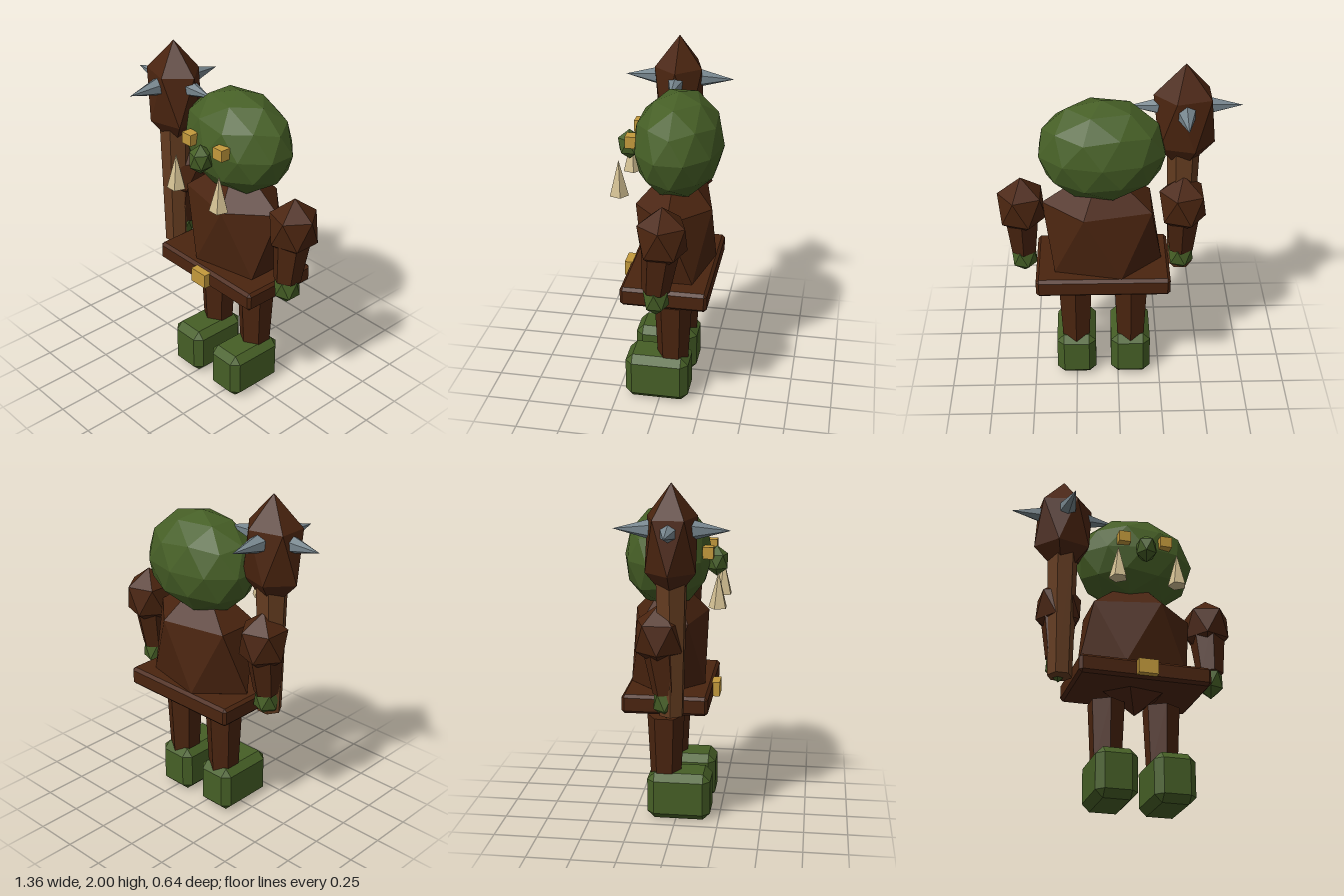
import * as THREE from 'three';
import { ConvexGeometry } from 'three/addons/geometries/ConvexGeometry.js';

const mat = (name, color) => {
  const m = new THREE.MeshStandardMaterial({ color });
  m.name = name;
  return m;
};

// Flat facets: unshared vertices with face normals
const facet = (geo) => {
  const g = geo.index ? geo.toNonIndexed() : geo;
  g.computeVertexNormals();
  return g;
};

// Icosphere with its poles on y and an upper-ring vertex on +x
function ico(rx, ry, rz, detail = 0) {
  const g = new THREE.IcosahedronGeometry(1, detail);
  g.rotateX(-Math.atan((1 + Math.sqrt(5)) / 2));
  g.rotateY(Math.PI / 2);
  g.scale(rx, ry, rz);
  return facet(g);
}

// Box with every edge cut by a single chamfer c
function chamferBox(w, h, d, c) {
  const pts = [];
  for (const x of [-w / 2, w / 2])
    for (const y of [-h / 2, h / 2])
      for (const z of [-d / 2, d / 2]) {
        const ix = x - Math.sign(x) * c, iy = y - Math.sign(y) * c, iz = z - Math.sign(z) * c;
        pts.push(new THREE.Vector3(x, iy, iz), new THREE.Vector3(ix, y, iz), new THREE.Vector3(ix, iy, z));
      }
  return new ConvexGeometry(pts);
}

const taper = (rTop, rBottom, h, sides) => facet(new THREE.CylinderGeometry(rTop, rBottom, h, sides));
const cone = (r, h, sides) => facet(new THREE.ConeGeometry(r, h, sides));

export function createModel() {
  const model = new THREE.Group();
  model.name = 'ogreWithClub';

  const skin = mat('green skin', 0x465f26);
  const leather = mat('dark brown leather', 0x4a240f);
  const wood = mat('club wood', 0x643c20);
  const gold = mat('gold', 0xc49a3c);
  const ivory = mat('ivory', 0xd2bf92);
  const steel = mat('steel', 0x76858d);

  const add = (name, geo, material, x, y, z, parent = model) => {
    const m = new THREE.Mesh(geo, material);
    m.name = name;
    m.position.set(x, y, z);
    parent.add(m);
    return m;
  };

  const CX = 0.087; // the body's own centre line

  // Body
  add('torso', ico(0.38, 0.435, 0.2525), leather, CX, 0.995, -0.06);
  add('belt', chamferBox(0.767, 0.11, 0.487, 0.017), leather, CX, 0.745, -0.047);
  add('buckle', new THREE.BoxGeometry(0.115, 0.085, 0.06), gold, CX, 0.748, 0.205);

  // Head
  add('head', ico(0.362, 0.295, 0.2525, 1), skin, CX, 1.53, -0.07);
  add('nose', ico(0.067, 0.088, 0.072), skin, CX, 1.502, 0.207);

  for (const s of [-1, 1]) {
    const side = s > 0 ? 'left' : 'right';

    // Face details
    add(side + 'Eye', new THREE.BoxGeometry(0.07, 0.066, 0.06), gold, CX + s * 0.125, 1.573, 0.17);
    add(side + 'Tusk', cone(0.055, 0.205, 5), ivory, CX + s * 0.176, 1.373, 0.232).rotation.y = Math.PI;

    // Arm, leaning slightly forward towards the hand
    const ax = CX + s * 0.455;
    add(side + 'Shoulder', ico(0.15, 0.18, 0.152), leather, ax, 1.17, -0.06);
    add(side + 'Arm', taper(0.113, 0.078, 0.32, 6), leather, ax, 1.01, -0.04).rotation.x = -0.11;
    add(side + 'Hand', ico(0.083, 0.107, 0.08), skin, ax, 0.807, -0.025);

    // Leg
    const lx = CX + s * 0.163;
    add(side + 'Leg', taper(0.109, 0.09, 0.37, 6), leather, lx, 0.435, -0.0675);
    add(side + 'Foot', chamferBox(0.235, 0.283, 0.37, 0.042), skin, lx, 0.1415, 0.016);
  }

  // Club
  const club = new THREE.Group();
  club.name = 'club';
  club.position.set(-0.366, 0, 0.005);
  model.add(club);
  add('clubHandle', taper(0.092, 0.072, 0.82, 6), wood, 0, 1.135, 0, club).rotation.y = Math.PI / 6;
  add('clubHead', ico(0.192, 0.325, 0.16), leather, 0, 1.675, 0, club);

  // Four spikes around the club head
  for (let i = 0; i < 4; i++) {
    const spike = new THREE.Group();
    spike.name = 'spikeMount';
    spike.position.y = 1.753;
    spike.rotation.y = i * Math.PI / 2;
    add('clubSpike', cone(0.058, 0.215, 6), steel, 0, 0, 0.2075, spike).rotation.x = Math.PI / 2;
    club.add(spike);
  }

  return model;
}
